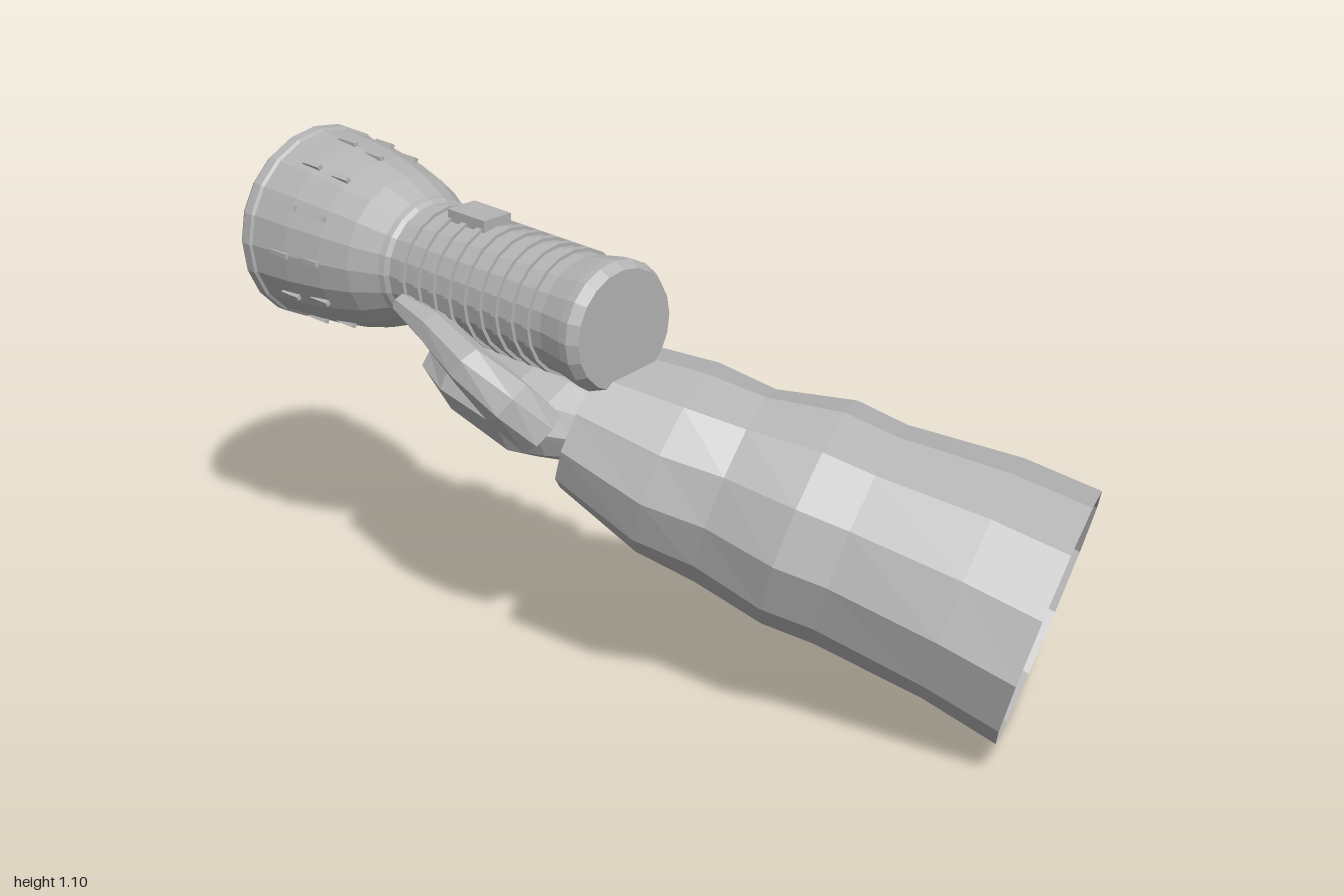
import * as THREE from 'three';

const V3 = (x, y, z) => new THREE.Vector3(x, y, z);

// Skin through elliptical sections { c, u, v }; sections advance along u x v
function loft(sections, sides, capped) {
  const pos = [], idx = [];
  for (const { c, u, v } of sections)
    for (let j = 0; j < sides; j++) {
      const a = (j / sides) * Math.PI * 2;
      const p = c.clone().addScaledVector(u, Math.cos(a)).addScaledVector(v, Math.sin(a));
      pos.push(p.x, p.y, p.z);
    }
  const last = sections.length - 1;
  for (let i = 0; i < last; i++)
    for (let j = 0; j < sides; j++) {
      const k = (j + 1) % sides, a = i * sides, b = a + sides;
      idx.push(a + j, a + k, b + k, a + j, b + k, b + j);
    }
  if (capped)
    for (let j = 1; j < sides - 1; j++) {
      idx.push(0, j + 1, j);
      idx.push(last * sides, last * sides + j, last * sides + j + 1);
    }
  const g = new THREE.BufferGeometry();
  g.setAttribute('position', new THREE.Float32BufferAttribute(pos, 3));
  g.setIndex(idx);
  g.computeVertexNormals();
  return g;
}

// Capped limb along a bent path, one radius per point
function limb(path, radii, ref, sides) {
  return loft(path.map((c, i) => {
    const d = path[Math.min(i + 1, path.length - 1)].clone()
      .sub(path[Math.max(i - 1, 0)]).normalize();
    const u = ref.clone().addScaledVector(d, -ref.dot(d)).normalize();
    const v = d.clone().cross(u);
    return { c, u: u.multiplyScalar(radii[i]), v: v.multiplyScalar(radii[i]) };
  }), sides, true);
}

export function createModel() {
  const model = new THREE.Group();
  const grey = new THREE.MeshStandardMaterial({ color: 0xb4b4b4, flatShading: true, side: THREE.DoubleSide });
  grey.name = 'plain grey';
  const add = (name, geometry, parent = model) => {
    const m = new THREE.Mesh(geometry, grey);
    m.name = name;
    parent.add(m);
    return m;
  };

  // Flashlight, built around its own axis running to the back
  const torch = new THREE.Group();
  torch.name = 'flashlight';
  torch.position.set(-0.3, 0.877, 0);
  model.add(torch);
  const profile = [
    [0, -0.04], [0.137, -0.04], [0.152, -0.015], [0.15, 0.01], [0.137, 0.08],
    [0.137, 0.575], [0.145, 0.585], [0.148, 0.6], [0.18, 0.67], [0.2, 0.75],
    [0.215, 0.85], [0.222, 0.955], [0.228, 0.96], [0.228, 0.985], [0.217, 1], [0, 1],
  ].map(([r, t]) => new THREE.Vector2(r, t));
  add('flashlightBody', new THREE.LatheGeometry(profile, 20).rotateX(-Math.PI / 2), torch);

  // Grip ribs
  for (let i = 0; i < 9; i++) {
    const rib = add('gripRib', new THREE.CylinderGeometry(0.145, 0.145, 0.016, 20).rotateX(Math.PI / 2), torch);
    rib.position.z = -0.12 - i * 0.051;
  }

  // Switch
  add('switch', new THREE.BoxGeometry(0.08, 0.035, 0.12), torch).position.set(0, 0.141, -0.42);

  // Two rows of small fins around the head
  for (let i = 0; i < 12; i++) {
    const a = (i / 12) * Math.PI * 2;
    for (const [r, z] of [[0.2, -0.775], [0.213, -0.865]]) {
      const fin = add('headFin', new THREE.BoxGeometry(0.016, 0.012, 0.055), torch);
      fin.position.set(Math.cos(a) * r, Math.sin(a) * r, z);
      fin.rotation.z = a;
    }
  }

  // Sleeve: open tube, from wrist to wide opening [x, y, z, half width, half height]
  const U = V3(0.883, 0, -0.47), V = V3(0.14, 0.954, 0.265);
  const sleeve = [
    [-0.27, 0.637, -0.09, 0.23, 0.166],
    [-0.18, 0.555, 0.08, 0.272, 0.215],
    [-0.11, 0.498, 0.19, 0.24, 0.228],
    [-0.03, 0.456, 0.34, 0.304, 0.256],
    [0.02, 0.42, 0.447, 0.292, 0.252],
    [0.145, 0.345, 0.667, 0.342, 0.268],
    [0.222, 0.275, 0.82, 0.351, 0.283],
  ].map(([x, y, z, w, h]) => ({
    c: V3(x, y, z), u: U.clone().multiplyScalar(w), v: V.clone().multiplyScalar(h),
  }));
  add('sleeve', loft(sleeve, 12, false));

  // Palm under the flashlight [x, y, z, half width, half height]
  const palm = [
    [-0.25, 0.61, -0.04, 0.11, 0.08],
    [-0.27, 0.62, -0.12, 0.15, 0.1],
    [-0.28, 0.625, -0.21, 0.175, 0.115],
    [-0.27, 0.645, -0.42, 0.16, 0.095],
    [-0.25, 0.65, -0.55, 0.12, 0.048],
  ].map(([x, y, z, w, h]) => ({ c: V3(x, y, z), u: V3(w, 0, 0), v: V3(0, -h, 0) }));
  add('palm', loft(palm, 10, true));

  // Four fingers curling up the side of the grip
  for (let i = 0; i < 4; i++) {
    const z = -0.14 - i * 0.102;
    const path = [[-0.21, 0.63], [-0.135, 0.69], [-0.117, 0.74], [-0.119, 0.8], [-0.14, 0.845], [-0.155, 0.862]]
      .map(([x, y]) => V3(x, y, z));
    add('finger', limb(path, [0.04, 0.044, 0.046, 0.046, 0.036, 0.018], V3(0, 0, 1), 8));
  }

  // Thumb along the other side
  add('thumb', limb(
    [V3(-0.4, 0.62, -0.12), V3(-0.45, 0.69, -0.17), V3(-0.482, 0.76, -0.26), V3(-0.46, 0.805, -0.4), V3(-0.45, 0.83, -0.52)],
    [0.06, 0.062, 0.052, 0.042, 0.025], V3(0, 1, 0), 7));

  return model;
}
